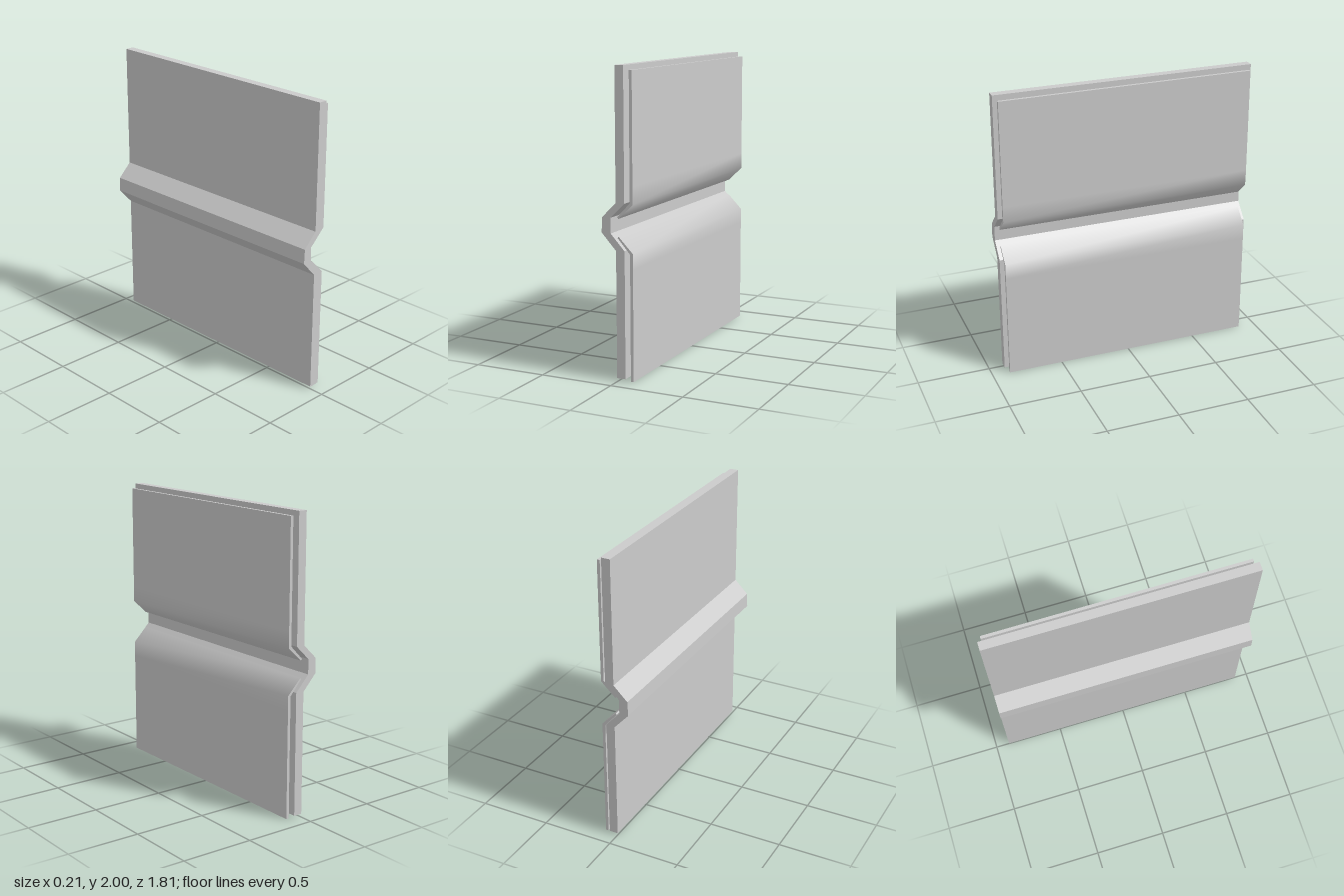
import * as THREE from 'three';
import { toCreasedNormals } from 'three/addons/utils/BufferGeometryUtils.js';

const material = new THREE.MeshStandardMaterial({ color: 0xcccccc });

// Sweeps an xy profile along z, centred; bends below the crease angle are smooth
function sweep(name, points, width, crease) {
  const shape = new THREE.Shape(points.map(([x, y]) => new THREE.Vector2(x, y)));
  const extruded = new THREE.ExtrudeGeometry(shape, { depth: width, bevelEnabled: false });
  extruded.translate(0, 0, -width / 2);
  const mesh = new THREE.Mesh(toCreasedNormals(extruded, crease), material);
  mesh.name = name;
  return mesh;
}

export function createModel() {
  const group = new THREE.Group();
  group.name = 'groovedPanel';

  // Backing board, folded backwards into a groove at mid height
  group.add(sweep('backingBoard', [
    [0.055, 0.02], [0.055, 0.848], [-0.042, 0.953], [-0.042, 1.053], [0.055, 1.148], [0.055, 2],
    [-0.005, 2], [-0.005, 1.148], [-0.102, 1.053], [-0.106, 0.955], [-0.005, 0.845], [-0.005, 0.02],
  ], 1.806, 0.3));

  // Thin facing sheets whose inner edges bend softly into the groove
  group.add(sweep('upperFacing', [
    [0.1, 1.97], [0.08, 1.97], [0.08, 1.25], [0.08, 1.148], [-0.01, 1.055],
    [0, 1.045], [0.1, 1.14], [0.1, 1.25],
  ], 1.756, 1));
  group.add(sweep('lowerFacing', [
    [0.08, 0], [0.1, 0], [0.1, 0.725], [0.1, 0.83], [0, 0.932],
    [-0.006, 0.922], [0.08, 0.825], [0.08, 0.725],
  ], 1.756, 1));
  return group;
}
